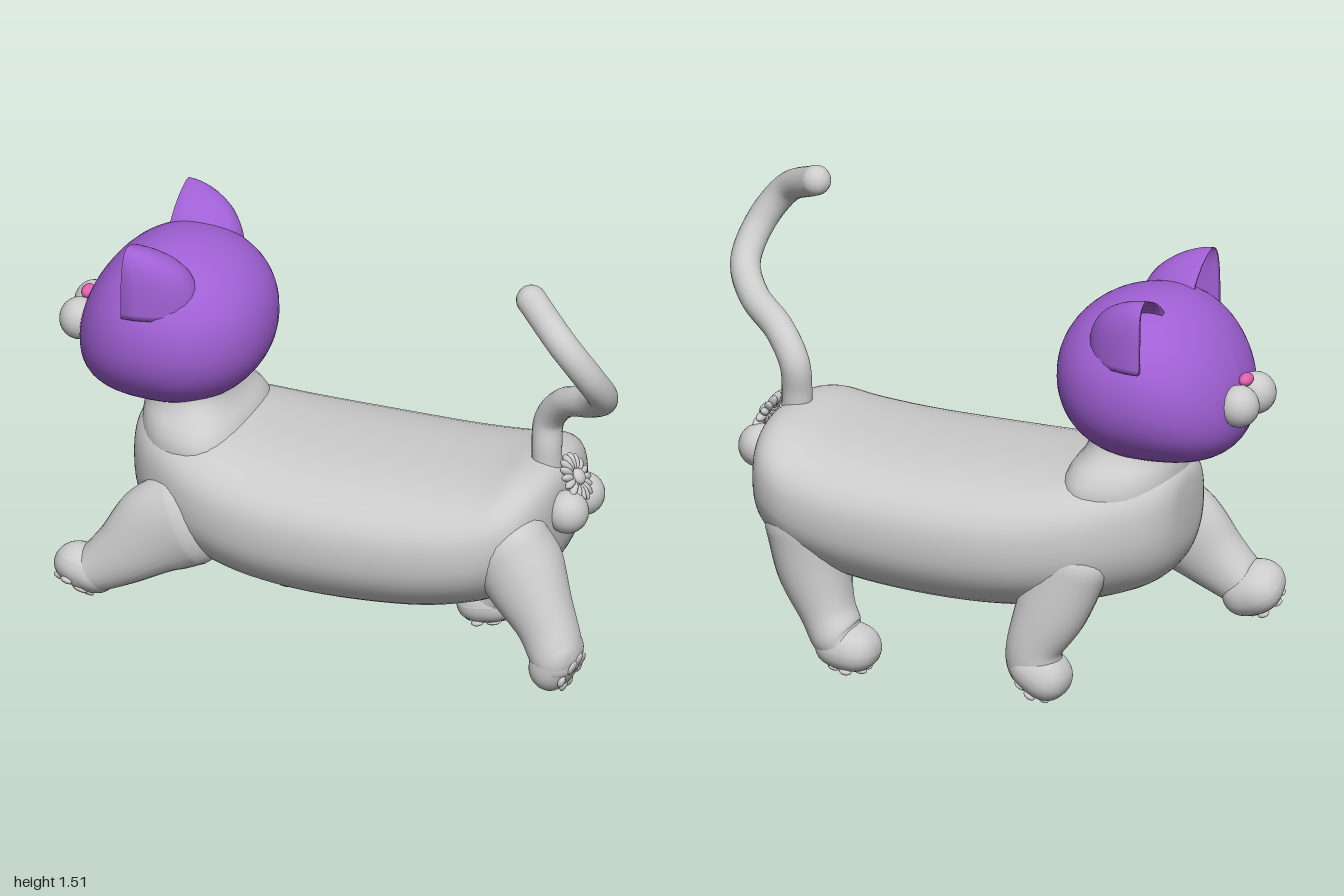
import * as THREE from 'three';

const V = (x, y, z) => new THREE.Vector3(x, y, z);
const grey = new THREE.MeshStandardMaterial({ color: 0xcccccc });
const purple = new THREE.MeshStandardMaterial({ color: 0xa060d4 });
const pink = new THREE.MeshStandardMaterial({ color: 0xe060b0 });

function add(parent, name, geometry, material = grey) {
  const mesh = new THREE.Mesh(geometry, material);
  mesh.name = name;
  parent.add(mesh);
  return mesh;
}

function ball(parent, name, pos, scale, material = grey, seg = 24) {
  const mesh = add(parent, name, new THREE.SphereGeometry(1, seg, Math.ceil(seg * 0.6)), material);
  mesh.position.set(...pos);
  mesh.scale.set(...scale);
  return mesh;
}

// Unit ball squared off by a power, each point then placed by a rule
function softBlock(power, place) {
  const g = new THREE.SphereGeometry(1, 48, 32);
  const p = g.attributes.position;
  for (let i = 0; i < p.count; i++) {
    const v = V(p.getX(i), p.getY(i), p.getZ(i));
    const sum = Math.abs(v.x) ** power + Math.abs(v.y) ** power + Math.abs(v.z) ** power;
    p.setXYZ(i, ...place(v.divideScalar(sum ** (1 / power))));
  }
  g.computeVertexNormals();
  return g;
}

// Smoothly resample rows of section values; the first and last row are kept
function resample(rows, count) {
  const curve = new THREE.CubicInterpolant(rows.map((_, i) => i), rows.flat(), rows[0].length);
  return Array.from({ length: count + 1 }, (_, i) =>
    Array.from(curve.evaluate((i / count) * (rows.length - 1))));
}

// Closed smooth skin over rings of equal length, faces turned outward
function loft(rings) {
  const n = rings[0].length, last = rings.length - 1;
  const pts = rings.flat(), index = [];
  const middle = (ring) => ring.reduce((s, p) => s.add(p), V(0, 0, 0)).divideScalar(n);
  const a0 = pts.length, a1 = a0 + 1;
  pts.push(middle(rings[0]), middle(rings[last]));
  for (let j = 0; j < n; j++) {
    const k = (j + 1) % n;
    for (let i = 0; i < last; i++) {
      const a = i * n + j, b = i * n + k;
      index.push(a, b, a + n, b, b + n, a + n);
    }
    index.push(a0, k, j, a1, last * n + j, last * n + k);
  }
  let volume = 0;
  for (let i = 0; i < index.length; i += 3)
    volume += pts[index[i]].dot(pts[index[i + 1]].clone().cross(pts[index[i + 2]]));
  if (volume < 0) index.reverse();
  const g = new THREE.BufferGeometry().setFromPoints(pts);
  g.setIndex(index);
  g.computeVertexNormals();
  return g;
}

// Unit rounded outline: superellipse points
function outline(count, power) {
  const f = (v) => Math.sign(v) * Math.abs(v) ** (2 / power);
  return Array.from({ length: count }, (_, i) => {
    const a = (i / count) * Math.PI * 2;
    return [f(Math.cos(a)), f(Math.sin(a))];
  });
}

// Limb along rows of [x, y, z, radius, side radius], with rounded ends
function limb(rows) {
  const s = resample(rows, 28);
  const ring = (row, dir, shift, k) => {
    const up = V(0, 0, 1).cross(dir).normalize();
    const c = V(row[0], row[1], row[2]).addScaledVector(dir, shift);
    return outline(28, 2.1).map(([u, v]) =>
      c.clone().addScaledVector(up, u * row[3] * k).add(V(0, 0, v * row[4] * k)));
  };
  const dirAt = (i) => {
    const a = s[Math.max(i - 1, 0)], b = s[Math.min(i + 1, s.length - 1)];
    return V(b[0] - a[0], b[1] - a[1], b[2] - a[2]).normalize();
  };
  const cap = (i, sign) => [1, 2, 3, 4, 5].map((k) => {
    const a = (k / 5) * 1.5;
    return ring(s[i], dirAt(i), sign * Math.sin(a) * s[i][3] * 0.7, Math.cos(a));
  });
  return loft([...cap(0, -1).reverse(), ...s.map((r, i) => ring(r, dirAt(i), 0, 1)), ...cap(28, 1)]);
}

// Rounded paw whose flat sole has a lobed heel pad and four toe pads
function paw(parent, pos, normal, toes) {
  const g = new THREE.Group();
  g.name = 'paw';
  const n = V(...normal).normalize();
  const side = n.clone().cross(V(...toes)).normalize();
  const heel = n.clone().cross(side);
  g.setRotationFromMatrix(new THREE.Matrix4().makeBasis(side, heel, n));
  g.position.set(...pos);
  parent.add(g);
  // the back of the paw narrows into the ankle
  add(g, 'pawBall', softBlock(2.5, (v) => {
    const k = 1 - 0.12 * Math.max(0, -v.z);
    return [v.x * 0.1 * k, v.y * 0.105 * k, v.z * 0.075 - 0.075];
  }));
  for (const x of [-1, 0, 1])
    ball(g, 'heelPad', [x * 0.034, x ? 0.02 : 0.036, -0.003], [0.028, 0.026, 0.009], grey, 14);
  for (const x of [-1.5, -0.5, 0.5, 1.5])
    ball(g, 'toePad', [x * 0.044, Math.abs(x) > 1 ? -0.026 : -0.062, -0.011], [0.019, 0.021, 0.011], grey, 14);
}

function createModel() {
  const model = new THREE.Group();
  model.name = 'cat';

  // Long body, narrowing at the chest: x, underside, top, half width
  const bodyRows = [
    [-0.73, 0.6, 0.68, 0.04], [-0.72, 0.5, 0.75, 0.13], [-0.68, 0.42, 0.79, 0.21],
    [-0.6, 0.36, 0.805, 0.285], [-0.45, 0.31, 0.785, 0.37], [-0.25, 0.27, 0.76, 0.422],
    [0, 0.255, 0.75, 0.44], [0.3, 0.27, 0.75, 0.432], [0.5, 0.31, 0.765, 0.41],
    [0.62, 0.36, 0.79, 0.37], [0.69, 0.41, 0.78, 0.3], [0.73, 0.49, 0.74, 0.18], [0.742, 0.58, 0.66, 0.05],
  ];
  add(model, 'body', loft(resample(bodyRows, 60).map(([x, lo, hi, w]) =>
    outline(48, 2.4).map(([u, v]) =>
      V(x, (lo + hi) / 2 + ((v + 0.1 * (1 - v * v)) * (hi - lo)) / 2, u * w)))));

  // Neck flaring into the shoulders: height, centre x, half depth, half width
  const neckRows = [[0.6, -0.52, 0.185, 0.3], [0.72, -0.525, 0.187, 0.305], [0.78, -0.535, 0.176, 0.28],
    [0.83, -0.55, 0.155, 0.23], [0.88, -0.56, 0.147, 0.205], [0.97, -0.56, 0.147, 0.2]];
  add(model, 'neck', loft(resample(neckRows, 24).map(([y, cx, rx, rz]) =>
    outline(32, 2.4).map(([u, v]) => V(cx + u * rx, y, v * rz * (0.94 + 0.16 * u))))));

  // Head: rounded ball whose face droops toward the muzzle
  add(model, 'head', softBlock(2.12, (v) => {
    const front = Math.max(0, -v.x);
    return [-0.613 + v.x * 0.317, 1.09 + v.y * 0.28 - 0.09 * front * front, v.z * 0.345];
  }), purple);

  // Ears: round-tipped cupped shells opening toward the face
  for (const side of [1, -1]) {
    const rings = Array.from({ length: 21 }, (_, i) => {
      const t = Math.sin((i / 20) * 1.53);
      const size = (1 - t ** 3) ** 0.65, zc = 0.207 + 0.065 * t ** 3;
      const arc = (k, kd) => Array.from({ length: 15 }, (_, j) => {
        const a = (j / 14) * Math.PI;
        return V(-0.69 + 0.22 * size * kd * Math.sin(a), 1.2 + 0.233 * t,
          side * (zc + 0.128 * size * k * Math.cos(a)));
      });
      return [...arc(1, 1), ...arc(0.8, 0.68).reverse()];
    });
    add(model, side > 0 ? 'frontEar' : 'backEar', loft(rings), purple);
  }

  // Muzzle and nose
  for (const s of [-1, 1]) ball(model, 'muzzleCheek', [-0.935, 1.04, s * 0.068], [0.066, 0.07, 0.068]);
  ball(model, 'nose', [-0.93, 1.108, 0], [0.022, 0.022, 0.034], pink);

  // Four striding legs with padded paws
  const legs = [
    ['frontForeleg', [[-0.48, 0.49, 0.26, 0.165, 0.12], [-0.58, 0.44, 0.28, 0.155, 0.105],
      [-0.69, 0.345, 0.3, 0.112, 0.092], [-0.78, 0.28, 0.305, 0.083, 0.088], [-0.83, 0.265, 0.305, 0.07, 0.088]],
    [-0.845, 0.202, 0.33], [-0.3, -0.85, 0.45], [-1, 0.25, 0]],
    ['backForeleg', [[-0.43, 0.5, -0.26, 0.13, 0.11], [-0.37, 0.33, -0.29, 0.12, 0.1],
      [-0.32, 0.21, -0.31, 0.095, 0.09], [-0.315, 0.14, -0.31, 0.09, 0.09], [-0.33, 0.11, -0.31, 0.075, 0.085]],
    [-0.298, 0.052, -0.31], [0.55, -0.8, 0], [-0.8, -0.55, 0]],
    ['backHindLeg', [[0.5, 0.48, -0.27, 0.15, 0.12], [0.48, 0.33, -0.27, 0.125, 0.12],
      [0.43, 0.2, -0.285, 0.09, 0.102], [0.39, 0.13, -0.3, 0.085, 0.1], [0.36, 0.1, -0.3, 0.065, 0.095]],
    [0.36, 0.016, -0.3], [0.15, -1, 0], [-1, -0.15, 0]],
    ['frontHindLeg', [[0.62, 0.575, 0.24, 0.14, 0.135], [0.69, 0.475, 0.25, 0.138, 0.14],
      [0.775, 0.36, 0.3, 0.102, 0.108], [0.825, 0.27, 0.335, 0.088, 0.1], [0.838, 0.23, 0.34, 0.07, 0.095]],
    [0.895, 0.215, 0.34], [0.93, -0.35, 0.05], [-0.35, -0.93, 0]],
  ];
  for (const [name, rows, pos, normal, toes] of legs) {
    const leg = new THREE.Group();
    leg.name = name;
    model.add(leg);
    add(leg, 'limb', limb(rows));
    paw(leg, pos, normal, toes);
  }

  // Curling tail with a round tip
  const path = [[0.67, 0.7, 0], [0.665, 0.82, 0], [0.67, 0.92, -0.01], [0.74, 1.01, 0.03], [0.87, 1.075, 0.12],
    [0.945, 1.15, 0.22], [0.93, 1.26, 0.31], [0.85, 1.375, 0.335], [0.7, 1.465, 0.23]];
  const tail = new THREE.CatmullRomCurve3(path.map((a) => V(...a)));
  add(model, 'tail', new THREE.TubeGeometry(tail, 80, 0.05, 20));
  ball(model, 'tailTip', path[8], [0.05, 0.05, 0.05]);

  // Petalled rosette and two round balls under the tail
  const rosette = new THREE.Group();
  rosette.name = 'rosette';
  rosette.position.set(0.768, 0.732, 0);
  rosette.lookAt(0.768 + 0.86, 0.732 + 0.5, 0);
  model.add(rosette);
  ball(rosette, 'rosetteCentre', [0, 0, 0.01], [0.028, 0.028, 0.018]);
  for (let i = 0; i < 16; i++) {
    const a = (i / 16) * Math.PI * 2;
    const petal = ball(rosette, 'petal', [Math.cos(a) * 0.054, Math.sin(a) * 0.054, 0], [0.032, 0.013, 0.015], grey, 12);
    petal.rotation.z = a;
  }
  for (const s of [-1, 1]) ball(model, 'hindBall', [0.765, 0.64, s * 0.073], [0.07, 0.072, 0.072]);

  return model;
}

export { createModel };
